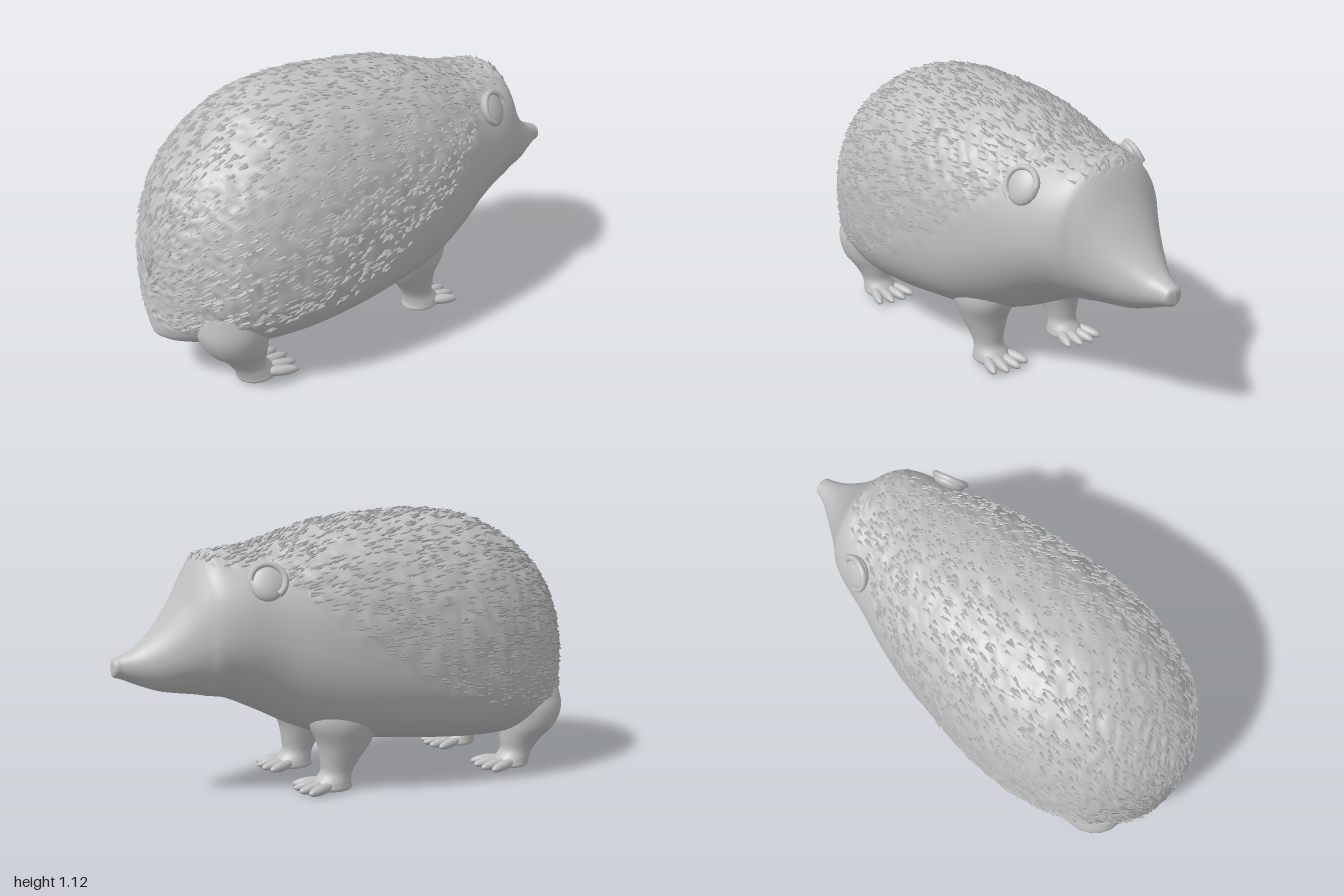
import * as THREE from 'three';
import { mergeGeometries } from 'three/addons/utils/BufferGeometryUtils.js';

const V = (x, y, z) => new THREE.Vector3(x, y, z);

// Small seeded random generator
function seeded(seed) {
  return () => {
    seed = (seed * 1664525 + 1013904223) % 4294967296;
    return seed / 4294967296;
  };
}

// Closed-ring surface: point(u, angle) for u in 0..1
function loft(rows, sides, point) {
  const pos = [], index = [];
  for (let i = 0; i <= rows; i++) {
    for (let j = 0; j < sides; j++) {
      const p = point(i / rows, (j / sides) * Math.PI * 2);
      pos.push(p.x, p.y, p.z);
      if (i === rows) continue;
      const k = (j + 1) % sides;
      const a = i * sides + j, b = i * sides + k, c = a + sides, d = b + sides;
      index.push(a, c, b, b, c, d);
    }
  }
  const g = new THREE.BufferGeometry();
  g.setAttribute('position', new THREE.Float32BufferAttribute(pos, 3));
  g.setIndex(index);
  g.computeVertexNormals();
  return g;
}

// Body sections from rump to nose: z, half width, top, bottom, widest height
const SECTIONS = [
  [1.0, 0, 0.48, 0.22, 0.36], [0.985, 0.1, 0.62, 0.205, 0.4], [0.95, 0.18, 0.73, 0.19, 0.43],
  [0.89, 0.26, 0.83, 0.18, 0.46], [0.8, 0.345, 0.93, 0.16, 0.49], [0.68, 0.4, 1.02, 0.14, 0.51],
  [0.5, 0.445, 1.095, 0.14, 0.53], [0.3, 0.455, 1.115, 0.155, 0.55], [0.1, 0.44, 1.105, 0.175, 0.56],
  [-0.1, 0.415, 1.085, 0.195, 0.58], [-0.27, 0.375, 1.04, 0.25, 0.6], [-0.42, 0.325, 0.995, 0.325, 0.63],
  [-0.55, 0.29, 0.975, 0.385, 0.66], [-0.63, 0.255, 0.965, 0.4, 0.66], [-0.675, 0.22, 0.925, 0.41, 0.64],
  [-0.74, 0.175, 0.805, 0.42, 0.6], [-0.82, 0.125, 0.69, 0.435, 0.56], [-0.9, 0.075, 0.615, 0.465, 0.54],
  [-0.96, 0.046, 0.585, 0.492, 0.537], [-0.99, 0.036, 0.572, 0.502, 0.537], [-1.0, 0, 0.55, 0.515, 0.535],
];
const curveOf = (f) => new THREE.CatmullRomCurve3(SECTIONS.map(f), false, 'catmullrom', 0.5);
const widthTop = curveOf(([z, w, t]) => V(w, t, z));
const bottomMid = curveOf(([z, , , b, m]) => V(b, m, z));

function skin(u, a) {
  const p = widthTop.getPoint(u), q = bottomMid.getPoint(u);
  const c = Math.cos(a), s = Math.sin(a);
  const e = s > 0 ? 2.15 : THREE.MathUtils.lerp(2.7, 1.9, THREE.MathUtils.smoothstep(u, 0.35, 0.6));
  const power = (v) => Math.sign(v) * Math.pow(Math.abs(v), 2 / e);
  const h = s > 0 ? p.y - q.y : q.y - q.x;
  return V(Math.max(p.x, 0) * power(c), q.y + h * power(s), p.z);
}

// Surface frame: point, outward normal, tangent toward the rump, area weight
function frame(u, a) {
  const v = THREE.MathUtils.clamp(u, 0.004, 0.996);
  const du = skin(v + 0.003, a).sub(skin(v - 0.003, a));
  const da = skin(v, a + 0.02).sub(skin(v, a - 0.02));
  const n = du.clone().cross(da);
  const area = n.length() / (0.006 * 0.04);
  return { p: skin(u, a), n: n.normalize(), t: du.normalize().negate(), area };
}

// Spiny coat: everything above a line that rises toward the hood
const COAT_EDGE = [[1.01, 0.26], [0.7, 0.29], [0.3, 0.38], [0, 0.54], [-0.25, 0.72], [-0.45, 0.9], [-0.67, 0.92]];
function coat(p) {
  if (p.z < -0.67) return 0;
  for (let i = 1; i < COAT_EDGE.length; i++) {
    const [z0, y0] = COAT_EDGE[i - 1], [z1, y1] = COAT_EDGE[i];
    if (p.z >= z1) {
      const edge = THREE.MathUtils.mapLinear(p.z, z0, z1, y0, y1);
      return THREE.MathUtils.smoothstep(p.y, edge - 0.02, edge + 0.05);
    }
  }
  return 0;
}

function bodyGeometry() {
  const rand = seeded(7);
  return loft(160, 120, (u, a) => {
    const { p, n } = frame(u, a);
    const bump = (rand() - 0.5) * 0.016 * coat(p);
    return u === 0 || u === 1 ? p : p.addScaledVector(n, bump);
  });
}

// Short three-sided spines lying back over the coat
function spineGeometry(count) {
  const rand = seeded(31), list = [];
  const cone = new THREE.ConeGeometry(0.009, 0.04, 3, 1, true).translate(0, 0.012, 0);
  const up = V(0, 1, 0), one = V(1, 1, 1);
  for (let tries = 0; list.length < count && tries < 60000; tries++) {
    const { p, n, t, area } = frame(0.01 + rand() * 0.75, rand() * Math.PI * 2);
    if (rand() * 6 > area || rand() > coat(p) || p.z > 0.97) continue;
    const lean = t.addScaledVector(n, 0.2 + rand() * 0.2);
    lean.x += (rand() - 0.5) * 0.5;
    lean.y += (rand() - 0.5) * 0.3;
    const turn = new THREE.Quaternion().setFromUnitVectors(up, lean.normalize());
    list.push(cone.clone().applyMatrix4(new THREE.Matrix4().compose(p, turn, one)));
  }
  return mergeGeometries(list);
}

// Leg rings from hip to sole: height, z, x radius, z radius
const FRONT_LEG = [[0.4, -0.09, 0.1, 0.16], [0.29, -0.11, 0.12, 0.15], [0.2, -0.11, 0.095, 0.115],
  [0.13, -0.13, 0.07, 0.083], [0.08, -0.145, 0.06, 0.068], [0.04, -0.165, 0.07, 0.08],
  [0.012, -0.165, 0.068, 0.08], [0.006, -0.165, 0, 0]];
const HIND_LEG = [[0.36, 0.77, 0.1, 0.14], [0.27, 0.78, 0.13, 0.14], [0.19, 0.765, 0.12, 0.125],
  [0.13, 0.735, 0.085, 0.093], [0.08, 0.715, 0.066, 0.072], [0.04, 0.69, 0.07, 0.078],
  [0.012, 0.68, 0.068, 0.075], [0.006, 0.68, 0, 0]];

function legGeometry(rings, x) {
  const path = new THREE.CatmullRomCurve3(rings.map(([y, z]) => V(0, y, z)), false, 'catmullrom', 0.5);
  const size = new THREE.CatmullRomCurve3(rings.map(([, , rx, rz]) => V(rx, 0, rz)), false, 'catmullrom', 0.5);
  return loft(28, 20, (u, a) => {
    const c = path.getPoint(u), r = size.getPoint(u);
    return V(x + Math.cos(a) * r.x, Math.max(c.y, 0.004), c.z - Math.sin(a) * r.z);
  });
}

export function createModel() {
  const model = new THREE.Group();
  model.name = 'hedgehog';
  const grey = new THREE.MeshStandardMaterial({ color: 0xc0c0c0 });
  grey.name = 'light grey';
  const add = (name, geometry, parent = model) => {
    const mesh = new THREE.Mesh(geometry, grey);
    mesh.name = name;
    parent.add(mesh);
    return mesh;
  };

  add('body', bodyGeometry());
  add('spines', spineGeometry(3000));

  // Stub tail
  const tail = add('tail', new THREE.SphereGeometry(0.05, 20, 14));
  tail.scale.set(1.3, 0.7, 0.9);
  tail.position.set(0, 0.225, 0.953);

  for (const s of [1, -1]) {
    const side = s > 0 ? 'right' : 'left';

    // Round ear with a raised rim
    const ear = new THREE.Group();
    ear.name = side + 'Ear';
    ear.position.set(s * 0.268, 0.865, -0.465);
    ear.rotation.set(0, s * 0.3, s * 0.45);
    model.add(ear);
    add('earCup', new THREE.SphereGeometry(0.075, 24, 16), ear).scale.set(0.35, 1, 0.9);
    const rim = add('earRim', new THREE.TorusGeometry(0.066, 0.013, 8, 28, Math.PI * 1.3), ear);
    rim.rotation.set(0, Math.PI / 2, 0);
    rim.position.x = s * 0.014;

    // Small eye
    const eye = add(side + 'Eye', new THREE.SphereGeometry(0.015, 14, 10));
    eye.position.set(s * 0.168, 0.655, -0.715);

    // Legs with four fanned toes each
    for (const [name, rings, x, z, reach] of [
      ['FrontLeg', FRONT_LEG, 0.195, -0.2, 0.13], ['HindLeg', HIND_LEG, 0.215, 0.65, 0.14],
    ]) {
      const leg = new THREE.Group();
      leg.name = side + name;
      model.add(leg);
      add('leg', legGeometry(rings, s * x), leg);
      for (let i = 0; i < 4; i++) {
        const k = i - 1.5;
        const length = reach - Math.abs(k) * 0.014;
        const toe = new THREE.SphereGeometry(1, 14, 10).scale(0.021, 0.021, length * 0.6);
        toe.translate(0, 0, -length * 0.4).rotateX(-0.1).rotateY(-k * 0.2);
        add('toe', toe, leg).position.set(s * x + k * 0.034, 0.034, z);
      }
    }
  }
  return model;
}
